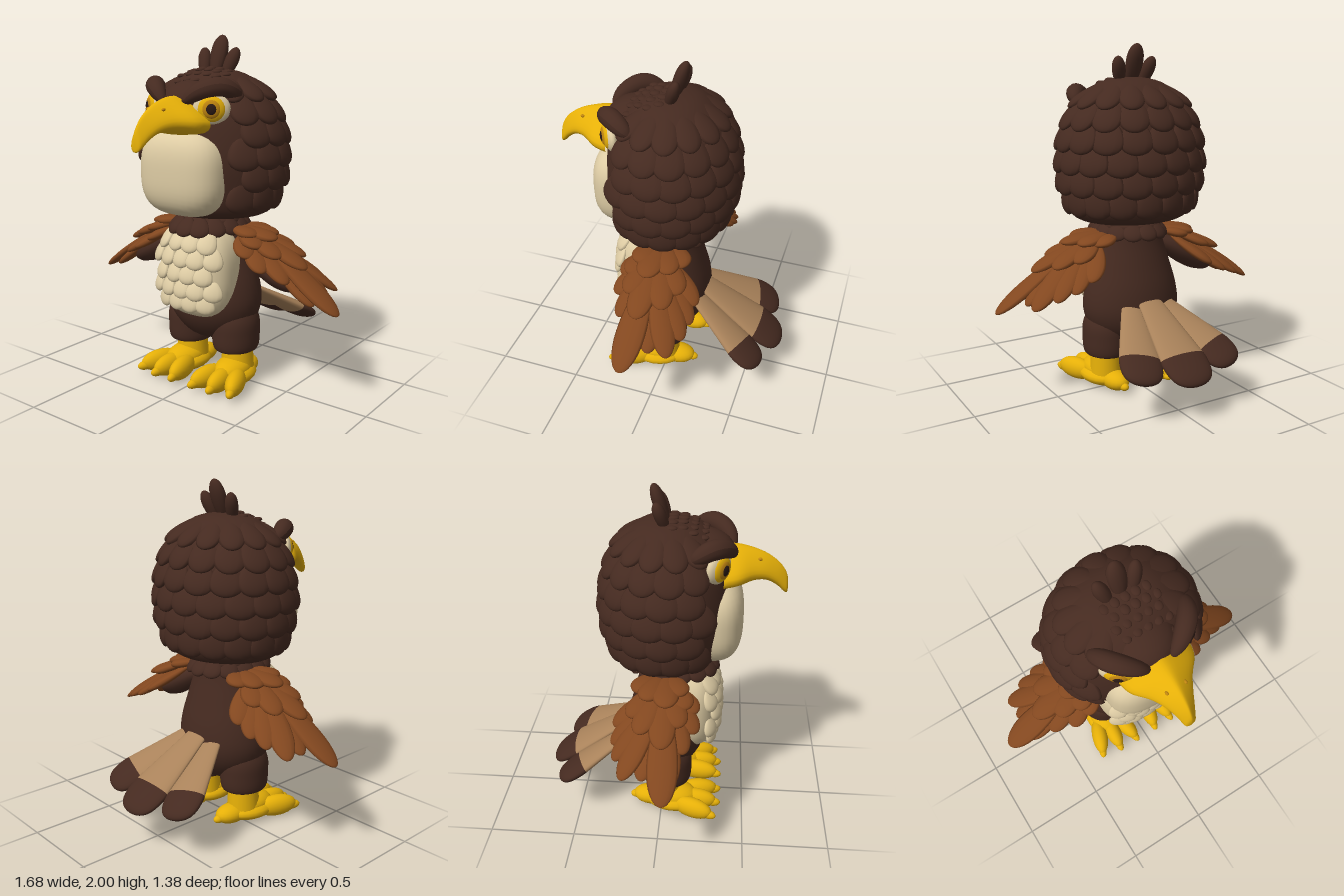
import * as THREE from 'three';

const V = (x, y, z) => new THREE.Vector3(x, y, z);
const paint = (name, color) => {
  const m = new THREE.MeshStandardMaterial({ color });
  m.name = name;
  return m;
};

export function createModel() {
  const model = new THREE.Group();
  model.name = 'eagle';
  const dark = paint('dark brown', 0x452a20);
  const rust = paint('rust brown', 0x82471f);
  const yellow = paint('yellow', 0xe6b008);
  const cream = paint('cream', 0xdeccA4);
  const tan = paint('tan', 0xa9825a);
  const amber = paint('amber', 0xc08510);
  const black = paint('pupil brown', 0x2a1914);

  const add = (name, geo, mat, parent = model) => {
    const m = new THREE.Mesh(geo, mat);
    m.name = name;
    parent.add(m);
    return m;
  };
  const group = (name) => {
    const g = new THREE.Group();
    g.name = name;
    model.add(g);
    return g;
  };

  // Unit feathers along +y, flattened by the mesh scale
  const plume = (fn, t0, t1, n, seg) => {
    const pts = [];
    for (let i = 0; i <= n; i++) {
      const t = t0 + (t1 - t0) * Math.sin(i / n * Math.PI / 2);
      pts.push(new THREE.Vector2(fn(t), t));
    }
    return new THREE.LatheGeometry(pts, seg);
  };
  const leaf = t => 0.5 * Math.sin(Math.min(t / 0.65, 1) * Math.PI / 2) ** 0.7 *
    Math.sqrt(Math.max(0, 1 - Math.max(0, (t - 0.65) / 0.35) ** 2));
  const leafGeo = plume(leaf, 0, 1, 14, 12);
  const paddle = t => 0.5 * (0.45 + 0.55 * Math.min(t / 0.75, 1)) * Math.sqrt(Math.max(0, 1 - t ** 13));
  const feather = (name, root, tip, width, thick, normal, mat, parent, geo = leafGeo) => {
    const m = add(name, geo, mat, parent);
    const y = tip.clone().sub(root), len = y.length();
    y.normalize();
    const x = y.clone().cross(normal).normalize();
    m.quaternion.setFromRotationMatrix(new THREE.Matrix4().makeBasis(x, y, x.clone().cross(y)));
    m.position.copy(root);
    m.scale.set(width, len, thick);
  };

  // Smooth turned body, flattened in z
  const turned = (name, pts, mat, x, z, sz) => {
    const curve = new THREE.SplineCurve(pts.map(p => new THREE.Vector2(...p)));
    const line = curve.getPoints(30).map(p => new THREE.Vector2(Math.max(p.x, 0), p.y));
    const m = add(name, new THREE.LatheGeometry(line, 36), mat);
    m.position.set(x, 0, z);
    m.scale.z = sz;
  };
  // Rounded box-like ball
  const squircle = (name, n, r, c, mat) => {
    const geo = new THREE.SphereGeometry(1, 40, 28), p = geo.attributes.position;
    for (let i = 0; i < p.count; i++) {
      const v = V(0, 0, 0).fromBufferAttribute(p, i);
      const k = Math.pow(Math.abs(v.x) ** n + Math.abs(v.y) ** n + Math.abs(v.z) ** n, -1 / n);
      p.setXYZ(i, v.x * k * r[0], v.y * k * r[1], v.z * k * r[2]);
    }
    geo.computeVertexNormals();
    add(name, geo, mat).position.set(...c);
  };
  const ballGeo = new THREE.SphereGeometry(1, 22, 12);
  const ball = (name, c, r, mat, parent) => {
    const m = add(name, ballGeo, mat, parent);
    m.position.set(...c);
    m.scale.set(...r);
    return m;
  };

  // Head and face
  const headPts = [[0, 0.99], [0.2, 0.995], [0.32, 1.02], [0.375, 1.08], [0.405, 1.2], [0.42, 1.33],
    [0.405, 1.48], [0.37, 1.6], [0.31, 1.7], [0.2, 1.78], [0.1, 1.81], [0, 1.82]];
  const HZ = 0.86, HC = 0.02;
  turned('head', headPts, dark, 0, HC, HZ);
  ball('forehead', [0, 1.635, 0.2], [0.18, 0.125, 0.19], dark);
  squircle('facePatch', 2.9, [0.268, 0.242, 0.19], [0, 1.262, 0.26], cream);
  const headR = y => {
    for (let i = 1; i < headPts.length; i++) {
      const [r0, y0] = headPts[i - 1], [r1, y1] = headPts[i];
      if (y <= y1) return r0 + (r1 - r0) * (y - y0) / (y1 - y0);
    }
    return 0;
  };
  const onHead = (y, a, out) =>
    V(Math.sin(a) * (headR(y) + out), y, HC + Math.cos(a) * (headR(y) * HZ + out));

  // Overlapping head feathers: tip height, count, bare angle at the front
  const headFeathers = group('headFeathers');
  [[1.7, 14, 0.75], [1.58, 15, 0.95], [1.46, 16, 0.82], [1.34, 16, 0.82], [1.22, 16, 0.82],
    [1.1, 16, 0.82]].forEach(([y, n, bare], row) => {
    for (let i = 0; i < n; i++) {
      const a = (i + (row % 2) / 2) / n * Math.PI * 2;
      if (Math.min(a, Math.PI * 2 - a) < bare) continue;
      feather('headFeather', onHead(Math.min(y + 0.14, 1.79), a, -0.015), onHead(y - 0.05, a, 0.028),
        headR(y) * 0.46, 0.06, V(Math.sin(a), 0.25, Math.cos(a)), dark, headFeathers);
    }
  });
  // Small crown bumps
  for (let i = 0; i < 5; i++) for (let j = -2; j <= 2; j++) {
    const x = j * 0.06 + (i % 2) * 0.025, z = 0.05 + i * 0.055;
    const rr = Math.hypot(x, (z - HC) / HZ);
    let y = 1.82;
    while (headR(y) < rr) y -= 0.004;
    ball('crownBump', [x, y, z], [0.025, 0.013, 0.03], dark, headFeathers);
  }
  // Crest
  feather('crestMiddle', V(0, 1.74, 0.03), V(0, 2.0, -0.06), 0.105, 0.075, V(0, 0.2, 1), dark, headFeathers);
  for (const s of [-1, 1])
    feather('crestSide', V(s * 0.06, 1.74, 0.03), V(s * 0.115, 1.93, -0.04), 0.08, 0.07, V(0, 0.2, 1), dark, headFeathers);

  // Hooked beak from cross-sections: z, top, bottom, half width
  const sec = [[0.33, 1.68, 1.465, 0.21], [0.41, 1.678, 1.48, 0.19], [0.49, 1.66, 1.497, 0.125], [0.56, 1.632, 1.49, 0.083],
    [0.62, 1.59, 1.455, 0.055], [0.655, 1.55, 1.42, 0.04], [0.675, 1.51, 1.408, 0.03], [0.682, 1.47, 1.415, 0.014], [0.683, 1.44, 1.435, 0.001]];
  const spine = new THREE.CatmullRomCurve3(sec.map(s => V(s[0], s[1], s[2])), false, 'catmullrom', 0.5);
  const girth = new THREE.SplineCurve(sec.map(s => new THREE.Vector2(s[0], s[3])));
  const N = 28, M = 28, pos = [], idx = [];
  for (let i = 0; i <= N; i++) {
    const p = spine.getPoint(i / N), w = girth.getPoint(i / N).y;
    for (let j = 0; j < M; j++) {
      const a = j / M * Math.PI * 2, s = Math.sin(a);
      pos.push(w * Math.cos(a) * (1 - 0.55 * s) * 0.9, (p.y + p.z) / 2 + (p.y - p.z) / 2 * s, p.x);
      if (i === N) continue;
      const k = i * M + j, l = i * M + (j + 1) % M;
      idx.push(k, l, k + M, l, l + M, k + M);
    }
  }
  const beak = new THREE.BufferGeometry();
  beak.setAttribute('position', new THREE.Float32BufferAttribute(pos, 3));
  beak.setIndex(idx);
  beak.computeVertexNormals();
  add('beak', beak, yellow);

  // Torso, belly and collar
  turned('torso', [[0, 0.24], [0.15, 0.27], [0.25, 0.36], [0.295, 0.47], [0.285, 0.6], [0.24, 0.75], [0.2, 0.88], [0.18, 1.0]],
    dark, 0, 0.02, 0.8);
  squircle('belly', 2.7, [0.24, 0.28, 0.165], [0, 0.685, 0.155], cream);
  const bellyZ = (x, y) => 0.155 + 0.165 * Math.pow(Math.max(0,
    1 - Math.abs(x / 0.24) ** 2.7 - Math.abs((y - 0.685) / 0.28) ** 2.7), 1 / 2.7);
  const bellyFeathers = group('bellyFeathers');
  [[0.84, 4], [0.75, 5], [0.66, 4], [0.57, 5], [0.49, 4]].forEach(([y, n]) => {
    for (let i = 0; i < n; i++) {
      const x = (i - (n - 1) / 2) * 0.094;
      feather('bellyFeather', V(x, y + 0.1, bellyZ(x, y + 0.08) - 0.01), V(x * 1.03, y - 0.02, bellyZ(x, y) + 0.028),
        0.115, 0.045, V(x * 3, 0, 1), cream, bellyFeathers);
    }
  });
  const collar = group('collar');
  ball('neck', [0, 0.97, 0.05], [0.19, 0.06, 0.22], dark, collar);
  for (let i = 0; i < 14; i++) {
    const a = i / 14 * Math.PI * 2, s = Math.sin(a), c = Math.cos(a);
    feather('collarFeather', V(s * 0.14, 1.01, 0.06 + c * 0.18), V(s * 0.22, 0.905, 0.06 + c * 0.265),
      0.12, 0.045, V(s, 0.5, c), dark, collar);
  }

  // Tail: tan blades with dark tips
  const tail = group('tail');
  const blade = plume(paddle, 0, 0.71, 12, 24), bladeTip = plume(paddle, 0.71, 1, 20, 24);
  [[0, 0.58, 0, 0.212, -0.69, 0.29], [-0.09, 0.54, -0.29, 0.25, -0.61, 0.25], [0.09, 0.54, 0.29, 0.25, -0.61, 0.25]]
    .forEach(([x0, y0, x1, y1, z1, w]) => {
      for (const [name, geo, mat] of [['tailFeather', blade, tan], ['tailTip', bladeTip, dark]])
        feather(name, V(x0, y0, -0.14), V(x1, y1, z1), w, 0.085, V(0, 0.8, -0.55), mat, tail, geo);
    });

  // Wing feathers: root x, root z, tip x, tip z, width, drop
  const plumes = [
    [0.36, 0.03, 0.84, 0.05, 0.17, 0], [0.36, 0, 0.71, -0.18, 0.14, 0.02], [0.32, 0, 0.6, -0.23, 0.13, 0.04],
    [0.28, 0, 0.5, -0.25, 0.13, 0.06], [0.24, -0.02, 0.4, -0.25, 0.13, 0.06], [0.36, 0.04, 0.71, 0.09, 0.13, 0.09],
    [0.36, 0, 0.71, -0.07, 0.13, 0.06], [0.3, 0.05, 0.58, 0.15, 0.13, 0.07], [0.26, 0.06, 0.46, 0.21, 0.13, 0.07],
    [0.22, 0.06, 0.36, 0.21, 0.13, 0.05],
    [0.3, 0.03, 0.63, 0.03, 0.15, -0.015], [0.28, 0, 0.55, -0.1, 0.14, -0.01], [0.25, -0.02, 0.44, -0.16, 0.14, 0],
    [0.28, 0.05, 0.51, 0.12, 0.14, 0], [0.22, 0.05, 0.4, 0.16, 0.14, 0],
    [0.17, 0.03, 0.44, 0.04, 0.15, -0.03], [0.17, 0, 0.38, -0.08, 0.14, -0.02], [0.16, 0.05, 0.35, 0.12, 0.14, -0.02],
    [0.15, -0.03, 0.3, -0.14, 0.14, -0.01]];
  const wingY = (x, z) => 0.945 - 0.15 * (x - 0.2) - 0.75 * (x - 0.2) ** 2 - 1.2 * (z - 0.03) ** 2;

  for (const s of [-1, 1]) {
    const side = s > 0 ? 'left' : 'right';
    const wing = group(side + 'Wing');
    feather('arm', V(s * 0.14, 0.88, 0.05), V(s * 0.59, 0.64, 0.04), 0.2, 0.15, V(s * 0.5, 0.8, 0), dark, wing);
    for (const [x0, z0, x1, z1, w, d] of plumes)
      feather('wingFeather', V(s * x0, wingY(x0, z0) - 0.02 - d * 0.4, z0), V(s * x1, wingY(x1, z1) - d, z1),
        w, 0.055, V(s * 0.5, 0.8, (z1 - 0.03) * 1.5), rust, wing);

    // Eye, brow and nostril
    const eye = group(side + 'Eye');
    eye.position.set(s * 0.195, 1.615, 0.3);
    eye.rotation.y = s * 0.6;
    ball('eyeWhite', [0, 0, 0], [0.1, 0.085, 0.038], cream, eye);
    ball('eyeRing', [0, 0, 0.02], [0.074, 0.068, 0.026], yellow, eye);
    ball('iris', [0, 0, 0.034], [0.05, 0.05, 0.017], amber, eye);
    ball('pupil', [0, 0, 0.041], [0.031, 0.033, 0.014], black, eye);
    const path = new THREE.CatmullRomCurve3([V(s * 0.06, 1.64, 0.385), V(s * 0.14, 1.70, 0.345),
      V(s * 0.225, 1.725, 0.265), V(s * 0.285, 1.68, 0.15)]);
    const brow = new THREE.TubeGeometry(path, 20, 0.058, 16), bp = brow.attributes.position;
    for (let i = 0; i < bp.count; i++) {
      const t = Math.floor(i / 17) / 20, c = path.getPointAt(t);
      const v = V(0, 0, 0).fromBufferAttribute(bp, i).sub(c);
      v.multiplyScalar(Math.sqrt(Math.max(0, 1 - (2 * t - 1) ** 2)) * (0.8 + 0.25 * t)).add(c);
      bp.setXYZ(i, v.x, v.y, v.z);
    }
    brow.computeVertexNormals();
    add(side + 'Brow', brow, dark);
    ball(side + 'Nostril', [s * 0.055, 1.617, 0.52], [0.009, 0.009, 0.012], amber);

    // Leg and foot
    turned(side + 'Leg', [[0, 0.2], [0.1, 0.2], [0.128, 0.22], [0.135, 0.3], [0.128, 0.4], [0.07, 0.5], [0, 0.54]],
      dark, s * 0.165, 0.03, 1.12);
    const foot = group(side + 'Foot');
    foot.position.set(s * 0.168, 0, 0);
    foot.rotation.y = s * 0.1;
    const ankle = add('ankle', new THREE.CylinderGeometry(0.09, 0.1, 0.16, 24), yellow, foot);
    ankle.position.set(0, 0.13, 0.02);
    ball('sole', [0, 0.06, 0.07], [0.125, 0.06, 0.17], yellow, foot);
    ball('instep', [0, 0.09, 0.07], [0.1, 0.07, 0.15], yellow, foot);
    ball('heel', [0, 0.058, -0.07], [0.072, 0.057, 0.105], yellow, foot);
    ball('heelClaw', [0, 0.045, -0.16], [0.026, 0.024, 0.037], yellow, foot);
    for (const t of [-1, 0, 1]) {
      const a = t * 0.28, c = Math.cos(a), n = Math.sin(a);
      const toe = ball('toe', [t * 0.045 + n * 0.17, 0.065, 0.05 + c * 0.16], [0.054, 0.065, 0.13], yellow, foot);
      toe.rotation.y = a;
      const claw = ball('claw', [t * 0.045 + n * 0.27, 0.05, 0.05 + c * 0.265], [0.026, 0.028, 0.052], yellow, foot);
      claw.rotation.y = a;
    }
  }
  return model;
}
